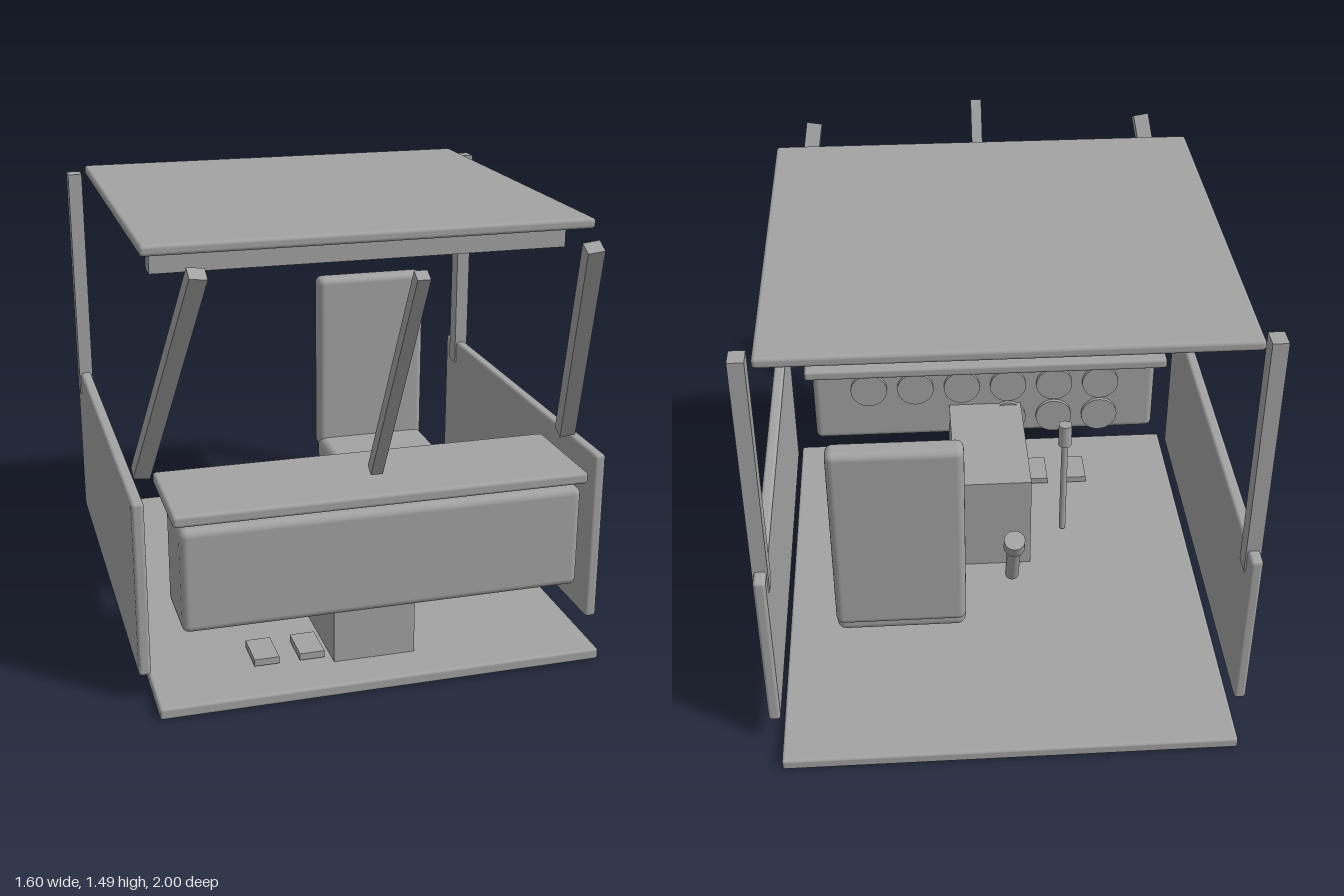
import * as THREE from 'three';
import { RoundedBoxGeometry } from 'three/addons/geometries/RoundedBoxGeometry.js';

const grey = new THREE.MeshStandardMaterial({ color: 0xa3a3a3 });
grey.name = 'plain grey';

export function createModel() {
  const model = new THREE.Group();
  model.name = 'vehicleCabin';

  const add = (name, geometry, x, y, z) => {
    const mesh = new THREE.Mesh(geometry, grey);
    mesh.name = name;
    mesh.position.set(x, y, z);
    model.add(mesh);
    return mesh;
  };
  // boxes given by their extents on each axis
  const span = (name, [x0, x1], [y0, y1], [z0, z1], radius = 0) => {
    const size = [x1 - x0, y1 - y0, z1 - z0];
    const geometry = radius
      ? new RoundedBoxGeometry(...size, 3, radius)
      : new THREE.BoxGeometry(...size);
    return add(name, geometry, (x0 + x1) / 2, (y0 + y1) / 2, (z0 + z1) / 2);
  };
  // round rod between two points
  const rod = (name, a, b, radius) => {
    const from = new THREE.Vector3(...a), to = new THREE.Vector3(...b);
    const dir = to.clone().sub(from);
    const mesh = add(name, new THREE.CylinderGeometry(radius, radius, dir.length(), 16),
      ...from.clone().add(to).multiplyScalar(0.5).toArray());
    mesh.quaternion.setFromUnitVectors(new THREE.Vector3(0, 1, 0), dir.normalize());
    return mesh;
  };

  // floor and roof
  span('floor', [-0.75, 0.75], [0, 0.04], [-1, 0.72], 0.01);
  span('roof', [-0.73, 0.73], [1.455, 1.49], [-0.83, 0.55], 0.012);
  span('roofCrossBar', [-0.685, 0.685], [1.37, 1.435], [0.35, 0.42]);

  // sides, rear posts and slanted front pillars
  for (const [side, s] of [['left', 1], ['right', -1]]) {
    const mirror = (a, b) => (s > 0 ? [a, b] : [-b, -a]);
    span(side + 'Door', mirror(0.755, 0.795), [0.095, 0.695], [-0.87, 0.595], 0.012);
    span(side + 'RearPost', mirror(0.75, 0.8), [0.61, 1.47], [-0.815, -0.75]);
    add(side + 'FrontPillar', new THREE.BoxGeometry(0.055, 0.86, 0.05), s * 0.67, 1.087, 0.597)
      .rotation.set(0.5, 0, s * 0.15);
  }
  add('centrePillar', new THREE.BoxGeometry(0.04, 0.86, 0.04), 0, 1.085, 0.77)
    .rotation.x = 0.515;

  // dashboard with its overhanging top
  const dashBack = 0.44;
  span('dashboard', [-0.665, 0.665], [0.28, 0.63], [dashBack, 0.7], 0.025);
  span('dashboardTop', [-0.685, 0.685], [0.642, 0.682], [0.31, 0.7], 0.012);

  // round gauges facing the seats
  const gauge = new THREE.CylinderGeometry(0.07, 0.07, 0.02, 28).rotateX(Math.PI / 2);
  for (let i = 0; i < 6; i++) {
    const x = 0.45 - i * 0.18;
    add('gauge', gauge, x, 0.51, dashBack - 0.005);
    if (i > 2) add('lowerGauge', gauge, x, 0.36, dashBack - 0.005);
  }

  // centre console
  span('console', [-0.14, 0.14], [0.04, 0.42], [-0.07, 0.57]);

  // seat
  span('seatCushion', [0.13, 0.56], [0.28, 0.38], [-0.66, -0.24], 0.03);
  span('seatBack', [0.13, 0.56], [0.34, 1.04], [-0.695, -0.615], 0.025);

  // pedals
  span('pedal', [-0.405, -0.32], [0.046, 0.07], [0.4, 0.54]);
  span('pedal', [-0.25, -0.165], [0.046, 0.07], [0.4, 0.54]);

  // upright control lever with its grip
  rod('controlLever', [-0.28, 0.05, 0.115], [-0.28, 0.48, 0.115], 0.0125);
  rod('controlLeverGrip', [-0.28, 0.45, 0.115], [-0.28, 0.54, 0.115], 0.025);

  // hand brake behind the console
  rod('handBrake', [-0.06, 0.1, -0.2], [-0.06, 0.33, -0.3], 0.025);
  rod('handBrakeGrip', [-0.06, 0.3, -0.287], [-0.06, 0.35, -0.309], 0.038);

  return model;
}
